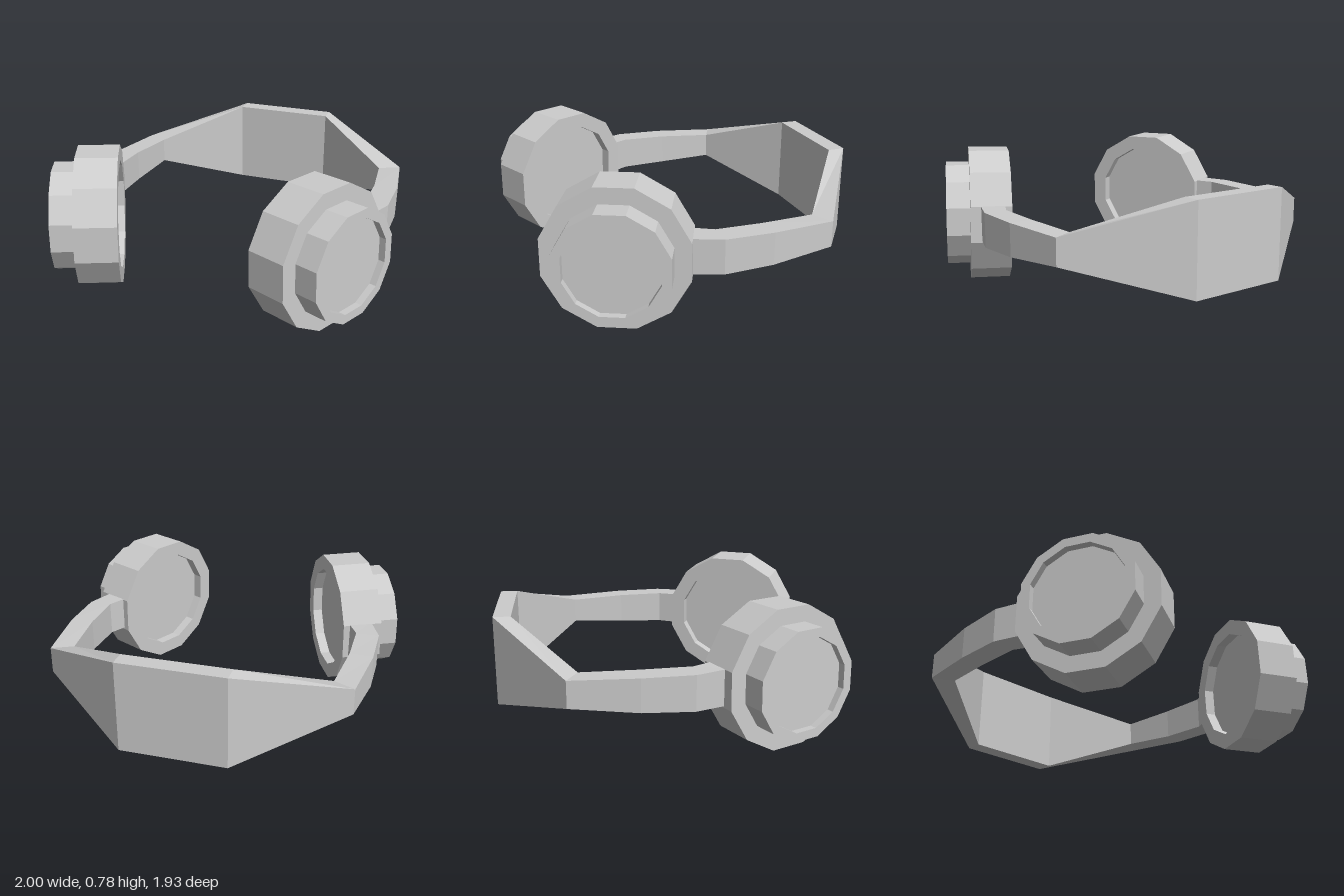
import * as THREE from 'three';

const material = new THREE.MeshStandardMaterial({ color: 0xcccccc, flatShading: true });

// Headband: rectangular cross-sections swept from one ear round the back to the other
function createBand() {
  // outer x, outer z, inner x, inner z, bottom y, top y
  const half = [
    [0.853, 0.25, 0.72, 0.205, 0.3, 0.5],
    [0.918, 0.08, 0.785, 0.08, 0.3, 0.497],
    [0.918, -0.2, 0.785, -0.19, 0.305, 0.49],
    [0.87, -0.57, 0.75, -0.51, 0.325, 0.475],
    [0.3, -0.968, 0.3, -0.868, 0.14, 0.657],
  ];
  const mirrored = half.map(([ox, oz, ix, iz, b, t]) => [-ox, oz, -ix, iz, b, t]).reverse();
  const rings = [...half, ...mirrored].map(([ox, oz, ix, iz, b, t]) => [
    [ox, t, oz], [ox, b, oz], [ix, b, iz], [ix, t, iz],
  ]);

  const positions = [];
  const quad = (a, b, c, d) => positions.push(...a, ...b, ...c, ...a, ...c, ...d);
  for (let i = 0; i < rings.length - 1; i++) {
    for (let k = 0; k < 4; k++) {
      const n = (k + 1) % 4;
      quad(rings[i][k], rings[i][n], rings[i + 1][n], rings[i + 1][k]);
    }
  }
  // end caps
  const [p, q, r, s] = rings[0];
  quad(p, s, r, q);
  quad(...rings[rings.length - 1]);

  const geometry = new THREE.BufferGeometry();
  geometry.setAttribute('position', new THREE.Float32BufferAttribute(positions, 3));
  geometry.computeVertexNormals();
  const band = new THREE.Mesh(geometry, material);
  band.name = 'headband';
  return band;
}

// Ear cup: twelve-sided stepped drum, recessed on the ear side and on the outside
function createCupGeometry() {
  const profile = [
    [0, 0.06], [0.312, 0.06], [0.312, 0],
    [0.403, 0], [0.403, 0.235],
    [0.311, 0.235], [0.311, 0.37],
    [0.259, 0.37], [0.259, 0.33], [0, 0.33],
  ].map(([x, y]) => new THREE.Vector2(x, y));
  return new THREE.LatheGeometry(profile, 12, Math.PI / 12);
}

export function createModel() {
  const model = new THREE.Group();
  model.name = 'headphones';
  model.add(createBand());

  const cupGeometry = createCupGeometry();
  for (const side of [1, -1]) {
    const cup = new THREE.Mesh(cupGeometry, material);
    cup.name = side > 0 ? 'leftEarCup' : 'rightEarCup';
    cup.position.set(side * 0.536, 0.391, 0.51);
    // lay the drum on its side, then turn it towards the front
    cup.rotation.set(0, -side * 0.443, side * (0.02 - Math.PI / 2));
    model.add(cup);
  }
  return model;
}
